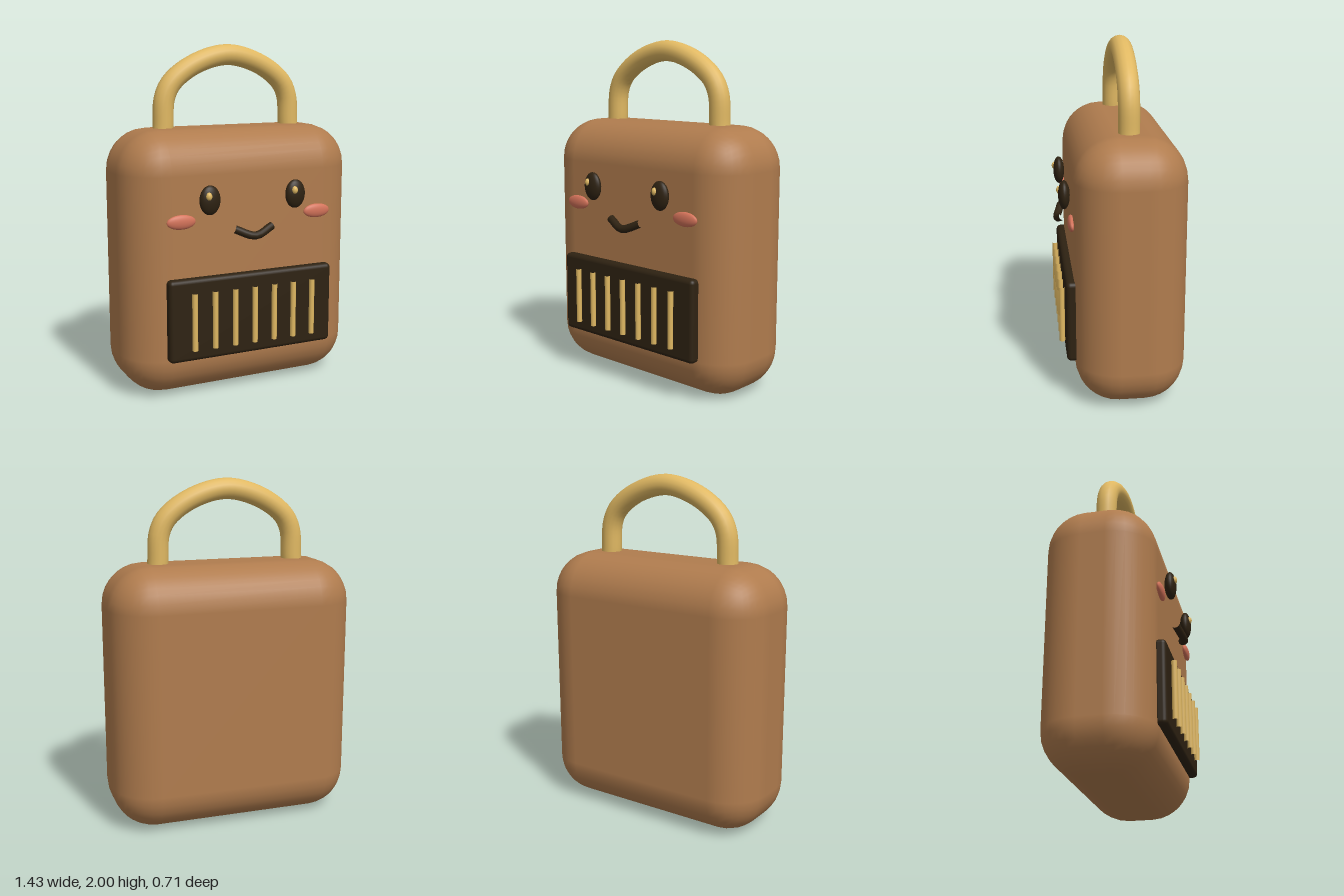
import * as THREE from 'three';
import { RoundedBoxGeometry } from 'three/addons/geometries/RoundedBoxGeometry.js';

const material = (name, color) => {
  const m = new THREE.MeshStandardMaterial({ color });
  m.name = name;
  return m;
};

export function createModel() {
  const group = new THREE.Group();
  const brown = material('brown', 0xb07c4e);
  const gold = material('gold', 0xe0b862);
  const dark = material('dark brown', 0x2e2212);
  const pink = material('pink', 0xd4735a);

  const add = (name, geometry, mat, x = 0, y = 0, z = 0) => {
    const mesh = new THREE.Mesh(geometry, mat);
    mesh.name = name;
    mesh.position.set(x, y, z);
    group.add(mesh);
    return mesh;
  };
  const ellipsoid = (name, mat, pos, radii) =>
    add(name, new THREE.SphereGeometry(1, 24, 16), mat, ...pos).scale.set(...radii);
  const tube = (name, points, radius, segments, mat) => {
    const curve = new THREE.CatmullRomCurve3(points.map((p) => new THREE.Vector3(...p)));
    return add(name, new THREE.TubeGeometry(curve, segments, radius, 16), mat);
  };

  // Body
  const bodyZ = -0.047;
  add('body', new RoundedBoxGeometry(1.43, 1.525, 0.62, 4, 0.24), brown, 0, 0.7675, bodyZ);

  // Carrying handle
  const half = [[-0.405, 1.525], [-0.393, 1.7], [-0.345, 1.79], [-0.2, 1.89]];
  const arch = [...half, [0, 1.94], ...half.map(([x, y]) => [-x, y]).reverse()];
  tube('handle', arch.map(([x, y]) => [x, y, bodyZ]), 0.06, 40, gold);

  // Eyes with glints, and cheeks
  for (const [side, s] of [['left', 1], ['right', -1]]) {
    ellipsoid(side + 'Eye', dark, [s * 0.268, 1.155, 0.3], [0.062, 0.083, 0.033]);
    ellipsoid(side + 'EyeGlint', gold, [s * 0.268 - 0.016, 1.18, 0.324], [0.018, 0.023, 0.018]);
    ellipsoid(side + 'Cheek', pink, [s * 0.428, 1.04, 0.272], [0.086, 0.041, 0.02]);
  }

  // Smile
  tube('mouth', [[-0.117, 0.98, 0.3], [0, 0.938, 0.328], [0.117, 0.98, 0.3]], 0.023, 8, dark);

  // Speaker panel with vertical bars
  add('speakerPanel', new RoundedBoxGeometry(1.03, 0.475, 0.07, 3, 0.025), dark, 0, 0.482, 0.275);
  for (let i = -3; i <= 3; i++) {
    add('grilleBar', new THREE.CylinderGeometry(0.016, 0.016, 0.33, 10, 1, true), gold, i * 0.1245, 0.478, 0.328);
  }

  return group;
}
